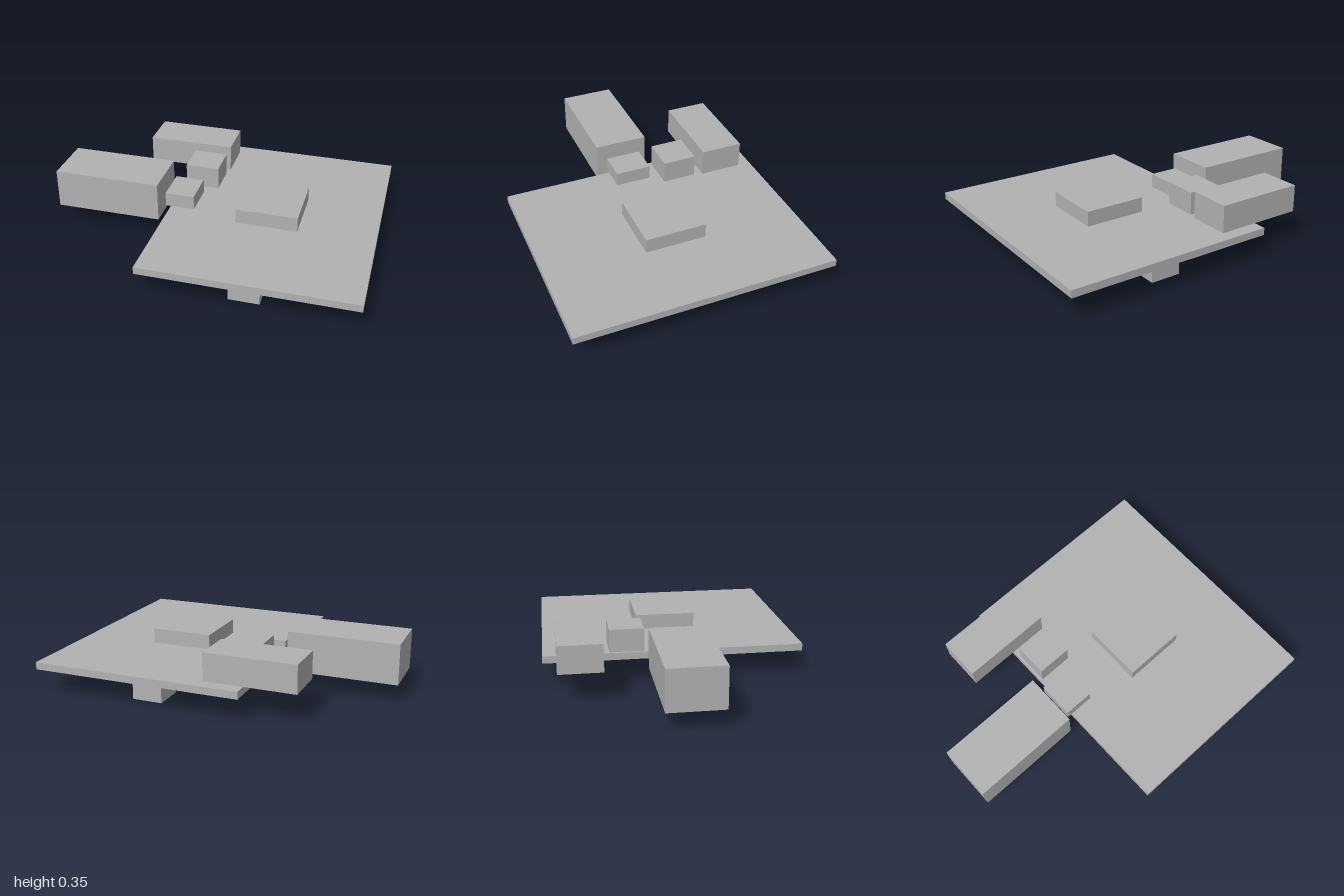
import * as THREE from 'three';

export function createModel() {
  const model = new THREE.Group();
  const grey = new THREE.MeshStandardMaterial({ color: 0xb2b2b2 });
  grey.name = 'plain grey';

  // Box given by its extents along each axis
  function block(name, [x0, x1], [y0, y1], [z0, z1]) {
    const mesh = new THREE.Mesh(new THREE.BoxGeometry(x1 - x0, y1 - y0, z1 - z0), grey);
    mesh.position.set((x0 + x1) / 2, (y0 + y1) / 2, (z0 + z1) / 2);
    mesh.name = name;
    model.add(mesh);
  }

  const bottom = 0.144, top = 0.188;

  // Flat board
  block('board', [-0.272, 1], [bottom, top], [-0.781, 0.781]);

  // Parts on the upper face
  block('centrePad', [0.16, 0.537], [top, 0.279], [-0.186, 0.186]);
  block('smallLowBlock', [-0.304, -0.123], [top, 0.275], [-0.112, 0.108]);
  block('smallTallBlock', [-0.257, -0.047], [top, 0.327], [-0.389, -0.181]);
  block('rearOverhangingBlock', [-0.578, -0.033], [top, 0.354], [-0.701, -0.442]);

  // Large separate block beside the board
  block('sideBlock', [-1, -0.337], [0.111, 0.354], [-0.166, 0.164]);

  // Feet under the board
  block('frontFoot', [0.246, 0.429], [0, bottom], [0.502, 0.682]);
  block('rearFoot', [0.246, 0.429], [0, bottom], [-0.662, -0.481]);

  return model;
}
